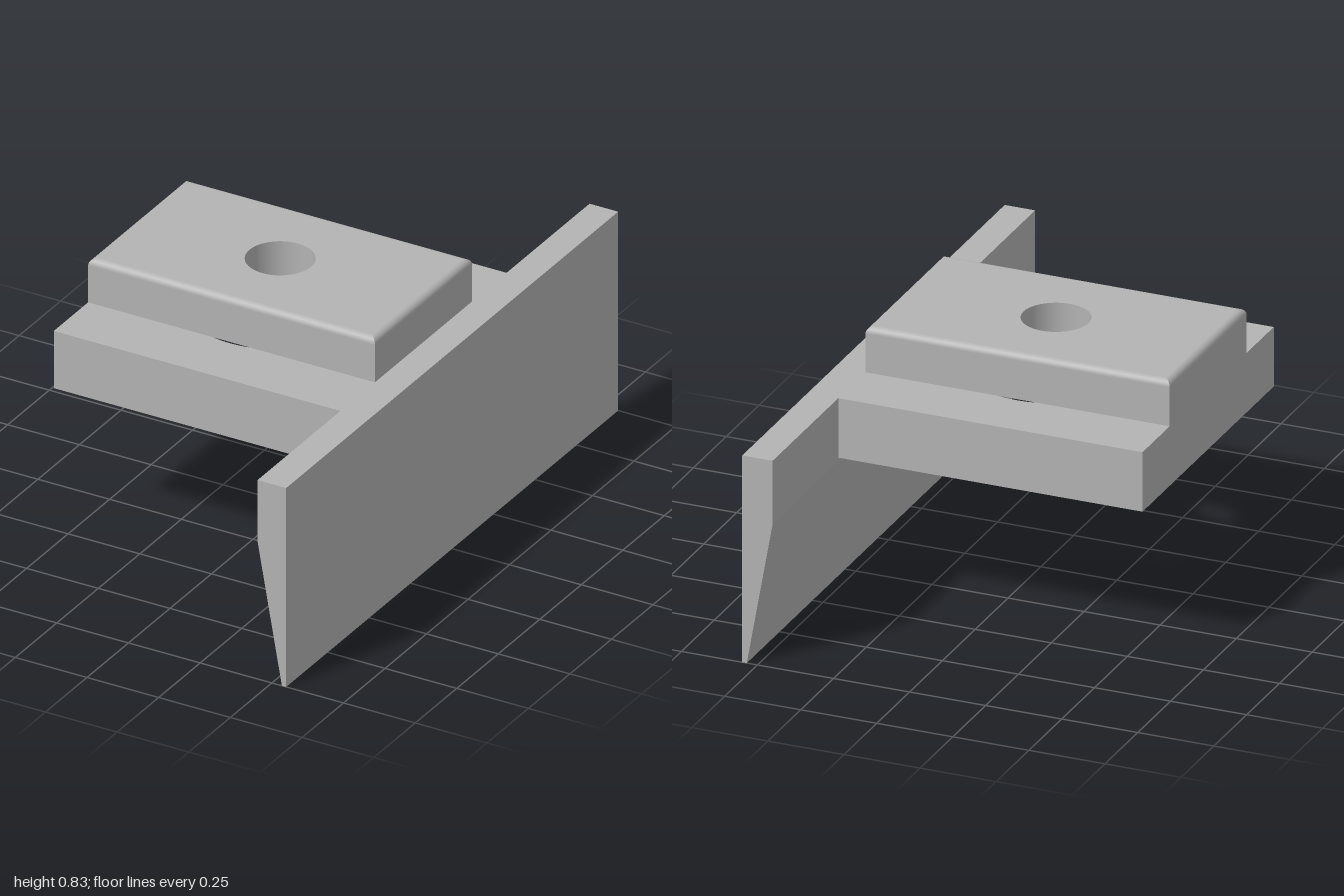
import * as THREE from 'three';
import { toCreasedNormals } from 'three/addons/utils/BufferGeometryUtils.js';

const CX = -0.05;                 // centre of the plate, block and bores
const Y0 = 0.488, Y1 = 0.685, Y2 = 0.835;

// Rectangle centred on the bore axis with a round hole in it
function holedRect(hx, hz, r) {
  const s = new THREE.Shape();
  s.moveTo(-hx, -hz).lineTo(hx, -hz).lineTo(hx, hz).lineTo(-hx, hz).closePath();
  s.holes.push(new THREE.Path().absarc(0, 0, r, 0, Math.PI * 2, true));
  return s;
}

// Walls of a box whose top edges are rounded, as stacked rectangles
function filletedWalls(hx, hz, y0, y1, r, steps = 6) {
  const rows = [{ y: y0, inset: 0, a: 0 }];
  for (let i = 0; i <= steps; i++) {
    const a = (i / steps) * Math.PI / 2;
    rows.push({ y: y1 - r + r * Math.sin(a), inset: r * (1 - Math.cos(a)), a });
  }
  const signs = [[1, 1], [1, -1], [-1, -1], [-1, 1]];
  const outward = [[1, 0], [0, -1], [-1, 0], [0, 1]];
  const pos = [], nor = [];
  for (let k = 0; k < 4; k++) {
    for (let j = 0; j < rows.length - 1; j++) {
      const quad = [[k, j], [k + 1, j], [k + 1, j + 1], [k, j + 1]];
      for (const q of [0, 1, 2, 0, 2, 3]) {
        const [sx, sz] = signs[quad[q][0] % 4], row = rows[quad[q][1]];
        pos.push(sx * (hx - row.inset), row.y, sz * (hz - row.inset));
        nor.push(outward[k][0] * Math.cos(row.a), Math.sin(row.a), outward[k][1] * Math.cos(row.a));
      }
    }
  }
  const g = new THREE.BufferGeometry();
  g.setAttribute('position', new THREE.Float32BufferAttribute(pos, 3));
  g.setAttribute('normal', new THREE.Float32BufferAttribute(nor, 3));
  return g;
}

export function createModel() {
  const model = new THREE.Group();
  model.name = 'scraperBracket';
  const grey = new THREE.MeshStandardMaterial({ color: 0xb3b3b3 });
  grey.name = 'grey';
  const add = (name, geometry, parent = model) => {
    const mesh = new THREE.Mesh(geometry, grey);
    mesh.name = name;
    parent.add(mesh);
    return mesh;
  };

  // Base plate with the wide bore right through it
  const plate = new THREE.ExtrudeGeometry(holedRect(0.5, 0.5, 0.3),
    { depth: Y1 - Y0, bevelEnabled: false, curveSegments: 64 });
  plate.rotateX(-Math.PI / 2).translate(CX, Y0, 0);
  add('basePlate', toCreasedNormals(plate, 0.6));

  // Raised block with rounded top edges and a narrow through hole
  const block = new THREE.Group();
  block.name = 'raisedBlock';
  block.position.x = CX;
  model.add(block);
  const hx = 0.5, hz = 0.293, fillet = 0.022, hole = 0.107;
  add('blockWalls', filletedWalls(hx, hz, Y1, Y2, fillet), block);
  add('blockTop', new THREE.ShapeGeometry(holedRect(hx - fillet, hz - fillet, hole), 48)
    .rotateX(-Math.PI / 2).translate(0, Y2, 0), block);
  add('blockUnderside', new THREE.ShapeGeometry(holedRect(hx, hz, hole), 48)
    .rotateX(Math.PI / 2).translate(0, Y1, 0), block);
  add('holeWall', new THREE.LatheGeometry(
    [new THREE.Vector2(hole, Y2), new THREE.Vector2(hole, Y1)], 96), block);

  // Long blade tapering to a thin lower edge
  const profile = new THREE.Shape();
  profile.moveTo(0.535, 0).lineTo(0.55, 0).lineTo(0.55, Y1).lineTo(0.45, Y1).lineTo(0.45, 0.475).closePath();
  add('blade', new THREE.ExtrudeGeometry(profile, { depth: 2, bevelEnabled: false }).translate(0, 0, -1));

  return model;
}
